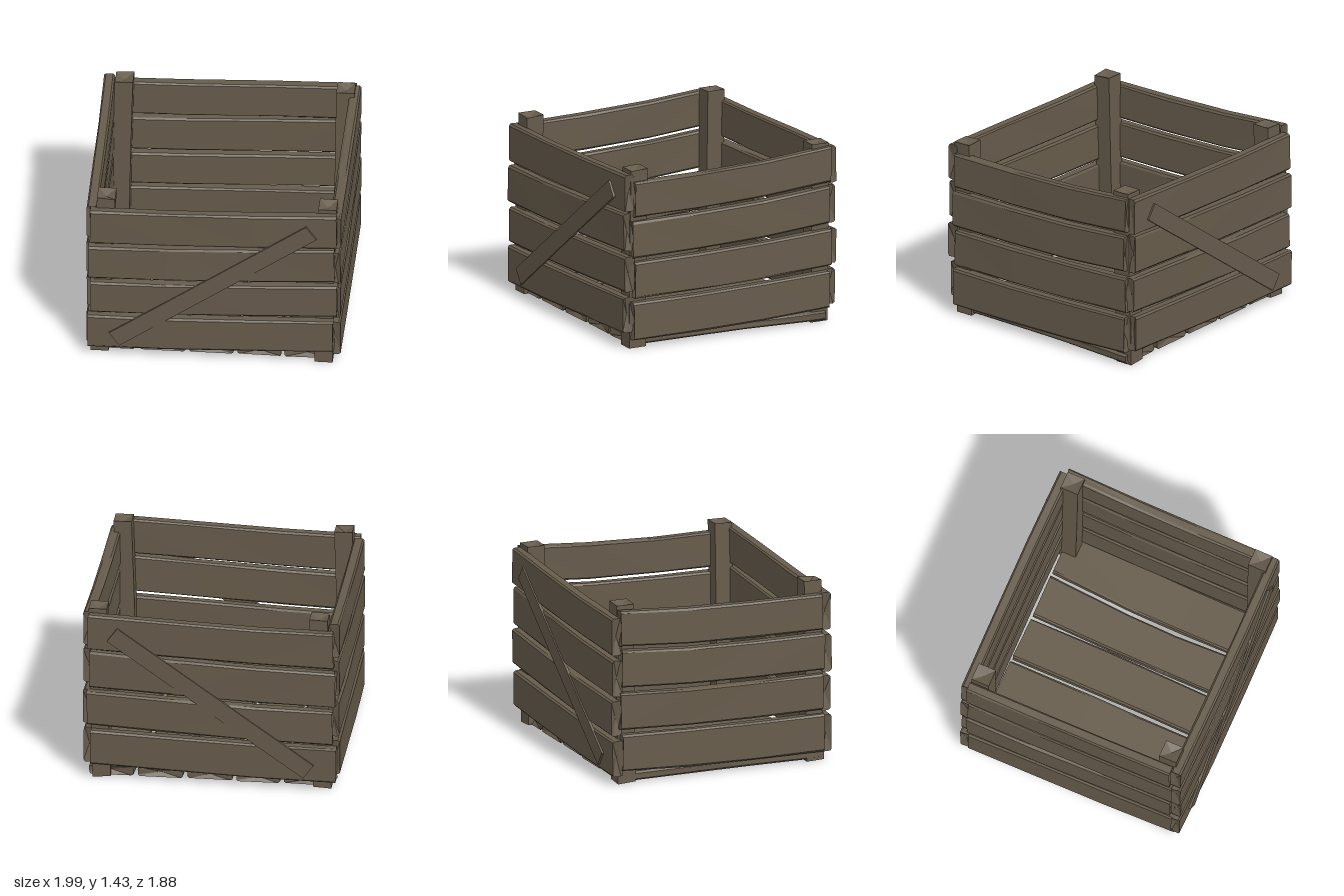
import * as THREE from 'three';

const wood = new THREE.MeshStandardMaterial({ color: 0x665b4b, flatShading: true });
wood.name = 'weatheredWood';

// Small seeded wobble so the boards look hand cut
let seed = 7;
const wobble = (a) => {
  seed = (seed * 16807) % 2147483647;
  return (seed / 2147483647 - 0.5) * 2 * a;
};

// Skin equal-sized rings of points; the ends are shallow dished pyramids
function loft(name, rings, dish) {
  const n = rings[0].length;
  const pts = rings.flat();
  const centre = (r) => r.reduce((s, p) => s.add(p), new THREE.Vector3()).divideScalar(n);
  const last = rings.length - 1;
  const a = centre(rings[0]), b = centre(rings[last]);
  const dir = b.clone().sub(a).normalize();
  pts.push(a.addScaledVector(dir, dish), b.addScaledVector(dir, -dish));
  const tris = [];
  for (let i = 0; i < n; i++) {
    const j = (i + 1) % n;
    for (let k = 0; k < last; k++) {
      const p = k * n, q = p + n;
      tris.push([p + i, p + j, q + j], [p + i, q + j, q + i]);
    }
    tris.push([pts.length - 2, j, i], [pts.length - 1, last * n + i, last * n + j]);
  }
  // Turn the faces outward whichever way the rings run
  const cross = new THREE.Vector3();
  const volume = tris.reduce((s, [i, j, k]) => s + pts[i].dot(cross.crossVectors(pts[j], pts[k])), 0);
  if (volume < 0) tris.forEach((t) => t.reverse());
  const geo = new THREE.BufferGeometry().setFromPoints(pts);
  geo.setIndex(tris.flat());
  const flat = geo.toNonIndexed();
  flat.computeVertexNormals();
  const mesh = new THREE.Mesh(flat, wood);
  mesh.name = name;
  return mesh;
}

// Board with chamfered edges. Stations: [along, low edge, high edge, bow]
function board(name, stations, inner, outer, place) {
  const c = 0.014;
  const rings = stations.map(([s, lo, hi, bow]) => {
    const i = inner + bow, o = outer + bow;
    return [
      [lo + c, i], [hi - c, i], [hi, i + c], [hi, o - c],
      [hi - c, o], [lo + c, o], [lo, o - c], [lo, i + c],
    ].map(([u, w]) => place(s + wobble(0.006), u + wobble(0.003), w + wobble(0.003)));
  });
  return loft(name, rings, 0.025);
}

export function createModel() {
  const crate = new THREE.Group();
  crate.name = 'woodenCrate';

  // Front and back slats: [left end, right end, low, high, low right, high right]
  const longSlats = [
    [-0.97, 0.93, 0.08, 0.37, 0.14, 0.42],
    [-0.945, 0.955, 0.4, 0.68, 0.47, 0.75],
    [-0.965, 0.935, 0.72, 1.01, 0.79, 1.09],
    [-0.95, 0.95, 1.05, 1.345, 1.11, 1.4],
  ];
  for (const side of [1, -1]) {
    const wall = new THREE.Group();
    wall.name = side > 0 ? 'frontWall' : 'backWall';
    for (const [x0, x1, l0, h0, l1, h1] of longSlats) {
      const st = [[0, 0, 0], [0.32, 0.2, 0.008], [0.67, 0.6, 0.008], [1, 1, 0]].map(([t, r, bow]) =>
        [x0 + (x1 - x0) * t, l0 + (l1 - l0) * r, h0 + (h1 - h0) * r, bow]);
      wall.add(board('slat', st, 0.835, 0.92, (s, u, w) => new THREE.Vector3(s, u, side * w)));
    }
    // Thin diagonal brace
    const brace = new THREE.Mesh(new THREE.BoxGeometry(1.865, 0.138, 0.022), wood);
    brace.name = 'diagonalBrace';
    brace.position.set(0, 0.715, side * 0.927);
    brace.rotation.z = 0.617;
    wall.add(brace);
    crate.add(wall);
  }

  // Side slats, rising toward the back: [low, high, low back, high back]
  const sideSlats = [
    [0.08, 0.38, 0.125, 0.415],
    [0.415, 0.7, 0.46, 0.75],
    [0.735, 1.025, 0.8, 1.09],
    [1.06, 1.34, 1.13, 1.41],
  ];
  for (const side of [1, -1]) {
    const wall = new THREE.Group();
    wall.name = side > 0 ? 'leftWall' : 'rightWall';
    sideSlats.forEach(([l0, h0, l1, h1], k) => {
      const shift = k % 2 ? -0.01 : 0.005;
      const st = [[0.85, 0], [0.28, 0.07], [-0.28, 0.35], [-0.85, 1]].map(([z, r], i) =>
        [z + shift, l0 + (l1 - l0) * r, h0 + (h1 - h0) * r, i * 0.004 - 0.008]);
      wall.add(board('slat', st, 0.905, 0.988, (s, u, w) => new THREE.Vector3(side * w, u, s)));
    });
    crate.add(wall);
  }

  // Floor slats: edges at the back, middle and front
  const floor = new THREE.Group();
  floor.name = 'floor';
  const floorSlats = [
    [-0.92, -0.56, -0.94, -0.575, -0.95, -0.61],
    [-0.53, -0.19, -0.54, -0.215, -0.57, -0.22],
    [-0.16, 0.19, -0.175, 0.17, -0.19, 0.15],
    [0.22, 0.57, 0.19, 0.505, 0.18, 0.52],
    [0.605, 0.95, 0.55, 0.91, 0.545, 0.9],
  ];
  for (const [a0, b0, a1, b1, a2, b2] of floorSlats) {
    const st = [[-0.835, a0, b0, 0], [-0.15, a1 + 0.006, b1 + 0.012, 0.004],
      [0.25, a1, b1, 0.004], [0.83, a2, b2, 0]];
    floor.add(board('floorSlat', st, 0.02, 0.09, (s, u, w) => new THREE.Vector3(u, w, s)));
  }
  crate.add(floor);

  // Corner posts, slightly leaning: [bottom x, top x, bottom z, top z]
  const posts = [
    [-0.88, -0.83, 0.79, 0.79],
    [0.85, 0.88, 0.79, 0.79],
    [-0.86, -0.83, -0.785, -0.785],
    [0.85, 0.88, -0.79, -0.785],
  ];
  for (const [bx, tx, bz, tz] of posts) {
    const ring = (x, y, z) => [[-1, -1], [1, -1], [1, 1], [-1, 1]].map(([i, j]) =>
      new THREE.Vector3(x + i * 0.07, y + wobble(0.006), z + j * 0.072));
    const mid = ring((bx + tx) / 2 + wobble(0.01), 0.72, (bz + tz) / 2);
    crate.add(loft('cornerPost', [ring(bx, 0.012, bz), mid, ring(tx, 1.435, tz)], 0.03));
  }

  return crate;
}
